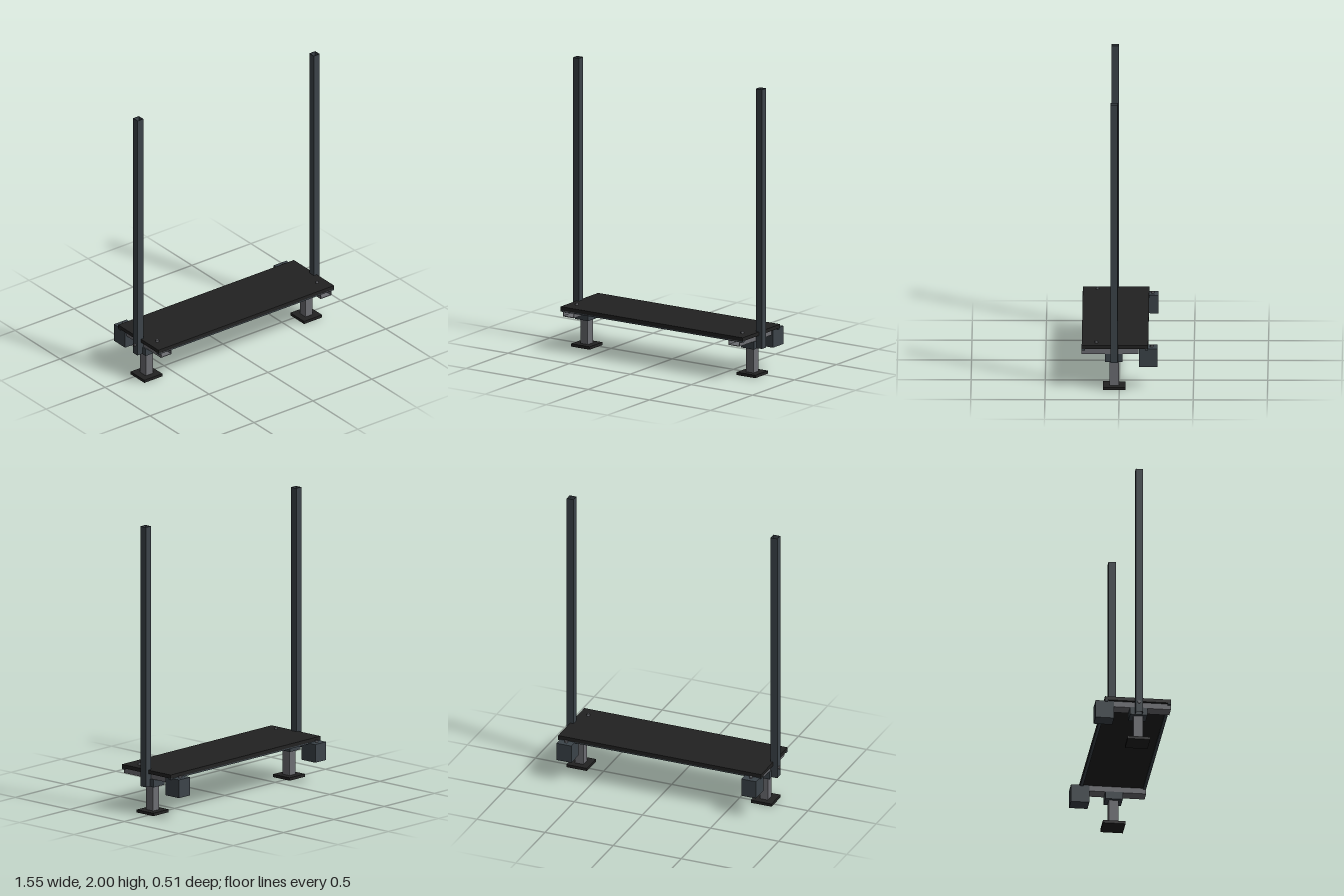
import * as THREE from 'three';

const mat = (name, color, side = THREE.FrontSide) => {
  const m = new THREE.MeshStandardMaterial({ color, side });
  m.name = name;
  return m;
};

export function createModel() {
  const black = mat('black', 0x222222);
  const slate = mat('slate', 0x3c444a);
  const grey = mat('grey', 0x6c6d72);
  const root = new THREE.Group();
  root.name = 'platform';

  const add = (name, geo, material, x, y, z, parent = root) => {
    const m = new THREE.Mesh(geo, material);
    m.name = name;
    m.position.set(x, y, z);
    parent.add(m);
    return m;
  };

  // Solid block given by its limits on each axis
  const block = (name, material, [x0, x1], [y0, y1], [z0, z1], parent) =>
    add(name, new THREE.BoxGeometry(x1 - x0, y1 - y0, z1 - z0), material,
      (x0 + x1) / 2, (y0 + y1) / 2, (z0 + z1) / 2, parent);

  // Hollow rectangular tube running along z
  const tube = (w, h, length, wall) => {
    const rect = (Kind, a, b) => new Kind([[-a, -b], [a, -b], [a, b], [-a, b]]
      .map(([x, y]) => new THREE.Vector2(x, y)));
    const shape = rect(THREE.Shape, w / 2, h / 2);
    shape.holes.push(rect(THREE.Path, w / 2 - wall, h / 2 - wall));
    return new THREE.ExtrudeGeometry(shape, { depth: length, bevelEnabled: false });
  };

  const bolt = (name, x, y, z, parent) =>
    add(name, new THREE.CylinderGeometry(0.011, 0.011, 0.016, 6), grey, x, y, z, parent);

  // Deck board with edge rails beneath its long sides
  block('deck', black, [-0.74, 0.75], [0.285, 0.31], [-0.195, 0.253]);
  block('frontRail', slate, [-0.74, 0.75], [0.276, 0.285], [0.232, 0.253]);
  block('backRail', slate, [-0.74, 0.75], [0.276, 0.285], [-0.195, -0.174]);

  for (const [side, cx, postX] of [['right', -0.675, -0.746], ['left', 0.68, 0.75]]) {
    const g = new THREE.Group();
    g.name = side + 'Support';
    root.add(g);
    const span = (r) => [cx - r, cx + r];

    // Foot, leg and the bracket that joins leg to post
    block('foot', black, span(0.076), [0, 0.02], [-0.042, 0.111], g);
    block('leg', grey, span(0.03), [0.02, 0.195], [0.003, 0.067], g);
    block('bracket', slate, span(0.053), [0.192, 0.245], [-0.023, 0.095], g);

    // Hollow cross beam and the block at its back end
    add('crossBeam', tube(0.09, 0.04, 0.385, 0.004), grey, cx, 0.265, -0.13, g);
    block('rearBlock', slate, span(0.054), [0.157, 0.283], [-0.257, -0.132], g);

    // Upright post, open at both ends
    add('post', tube(0.05, 0.05, 1.805, 0.003), slate, postX, 0.195, 0.035, g)
      .rotation.x = -Math.PI / 2;

    bolt('deckBolt', cx, 0.317, 0.155, g);
    bolt('rearBolt', cx, 0.288, -0.218, g);
  }

  // Locking screw on the outside of one post
  bolt('lockingScrew', -0.771, 0.265, 0.033).rotation.z = Math.PI / 2;
  return root;
}
